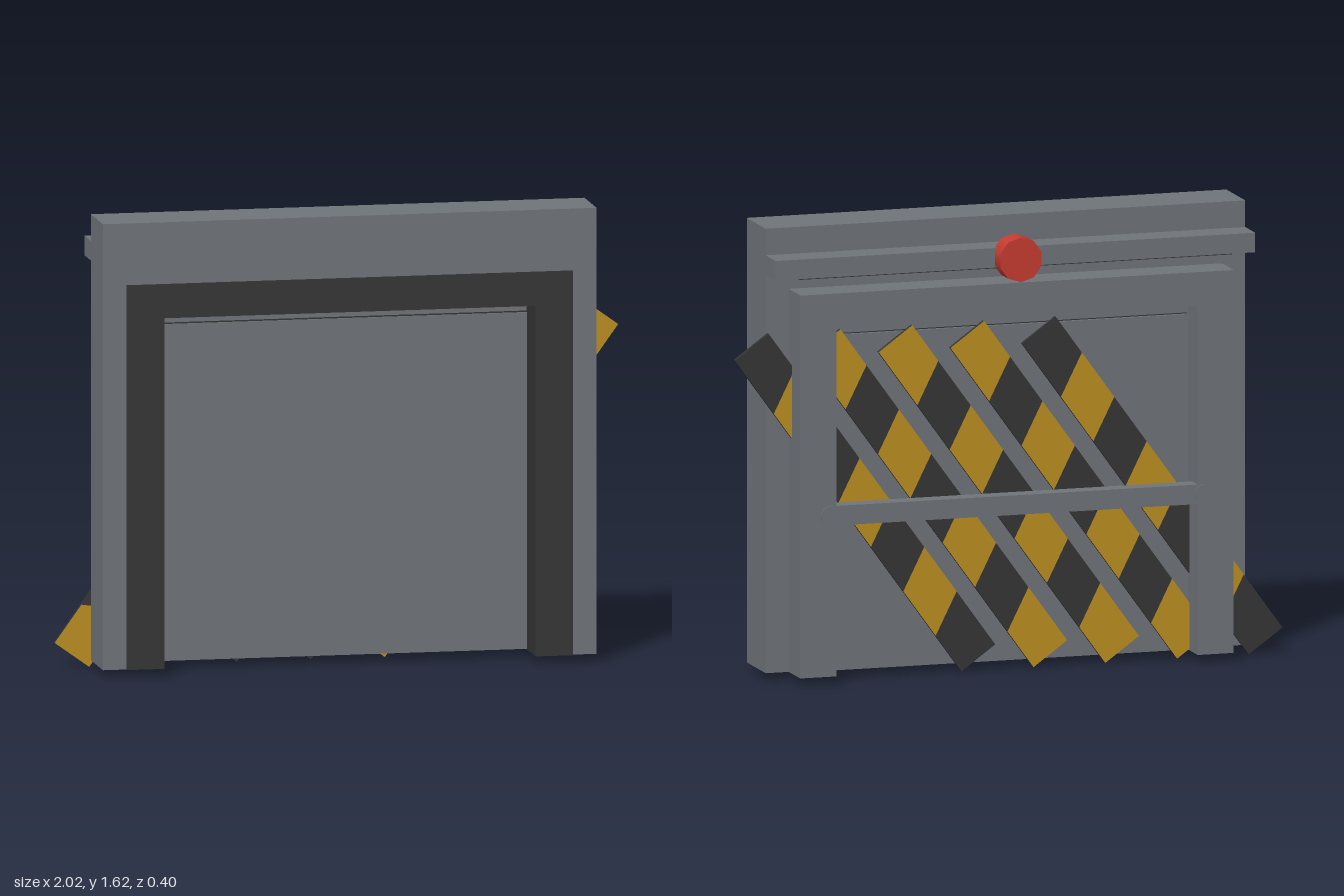
import * as THREE from 'three';

const mat = (name, color) => {
  const m = new THREE.MeshStandardMaterial({ color });
  m.name = name;
  return m;
};

export function createModel() {
  const model = new THREE.Group();
  model.name = 'barrierDoor';
  const grey = mat('steel grey', 0x70757a);
  const dark = mat('charcoal', 0x353535);
  const gold = mat('hazard yellow', 0xbd9021);
  const red = mat('lamp red', 0xc83c30);

  const add = (name, geometry, material, parent = model) => {
    const mesh = new THREE.Mesh(geometry, material);
    mesh.name = name;
    parent.add(mesh);
    return mesh;
  };
  // Box given by its limits on each axis
  const box = (name, material, x0, x1, y0, y1, z0, z1) => {
    const mesh = add(name, new THREE.BoxGeometry(x1 - x0, y1 - y0, z1 - z0), material);
    mesh.position.set((x0 + x1) / 2, (y0 + y1) / 2, (z0 + z1) / 2);
    return mesh;
  };
  const sideBox = (name, material, s, x0, x1, ...rest) =>
    box(name, material, Math.min(s * x0, s * x1), Math.max(s * x0, s * x1), ...rest);
  // Round part lying along z
  const disc = (name, material, r, sides, x, y, z0, z1) => {
    const g = new THREE.CylinderGeometry(r, r, z1 - z0, sides).rotateX(Math.PI / 2);
    add(name, g, material).position.set(x, y, (z0 + z1) / 2);
  };

  // Outer frame with its dark inner lining
  for (const s of [-1, 1]) {
    sideBox('outerPost', grey, s, 0.667, 0.885, 0.03, 1.62, -0.02, 0.198);
    sideBox('postLining', dark, s, 0.665, 0.8, 0.028, 1.4, -0.018, 0.2);
    sideBox('innerPost', grey, s, 0.667, 0.8, 0.03, 1.4, -0.153, -0.019);
    disc('railBolt', grey, 0.035, 16, s * 0.69, 0.605, -0.158, -0.14);
  }
  box('lintel', grey, -0.667, 0.667, 1.28, 1.62, -0.02, 0.198);
  box('lintelLining', dark, -0.667, 0.667, 1.278, 1.4, -0.018, 0.2);
  box('innerBeam', grey, -0.8, 0.8, 1.28, 1.4, -0.155, -0.019);

  // Door panel
  box('doorPanel', grey, -0.667, 0.667, 0.03, 1.23, -0.042, 0.047);
  box('doorHeader', grey, -0.667, 0.667, 1.236, 1.29, -0.042, 0.045);
  box('headerGap', dark, -0.667, 0.667, 1.225, 1.24, -0.03, 0.04);

  // Rear rails
  box('midRail', grey, -0.7, 0.7, 0.57, 0.64, -0.154, -0.09);
  box('topRail', grey, -0.885, 0.885, 1.455, 1.525, -0.135, -0.02);
  box('topRailUnderside', dark, -0.8, 0.8, 1.452, 1.456, -0.133, -0.02);

  // Alarm lamp
  disc('lampStem', dark, 0.025, 10, 0, 1.49, -0.14, -0.1);
  disc('lamp', red, 0.08, 10, 0, 1.49, -0.2, -0.115);

  // Diagonal hazard strips: dark core with alternating bands on both faces
  const L = 1.43, W = 0.153, bands = 7, skew = 0.04;
  const bandShape = (i) => {
    const cut = (k, side) => (k === 0 || k === bands ? 0 : side * skew) + (k / bands - 0.5) * L;
    return new THREE.Shape([
      new THREE.Vector2(-W / 2, cut(i, -1)),
      new THREE.Vector2(W / 2, cut(i, 1)),
      new THREE.Vector2(W / 2, cut(i + 1, 1)),
      new THREE.Vector2(-W / 2, cut(i + 1, -1)),
    ]);
  };
  const bandFace = (i) => new THREE.ShapeGeometry(bandShape(i));
  const darkFirst = [true, false, false, false, true];
  darkFirst.forEach((startsDark, n) => {
    const strip = new THREE.Group();
    strip.name = 'hazardStrip';
    add('stripCore', new THREE.BoxGeometry(W, L, 0.014), dark, strip);
    for (let i = 0; i < bands; i++) {
      const isDark = (i % 2 === 0) === startsDark;
      if (isDark) {
        add('frontBand', bandFace(i), gold, strip).position.z = 0.0085;
      } else {
        const back = add('backBand', bandFace(i).rotateY(Math.PI), gold, strip);
        back.position.z = -0.0085;
      }
    }
    strip.position.set((n - 2) * 0.265, 0.627, -0.05);
    strip.rotation.z = -0.625;
    model.add(strip);
  });

  return model;
}
